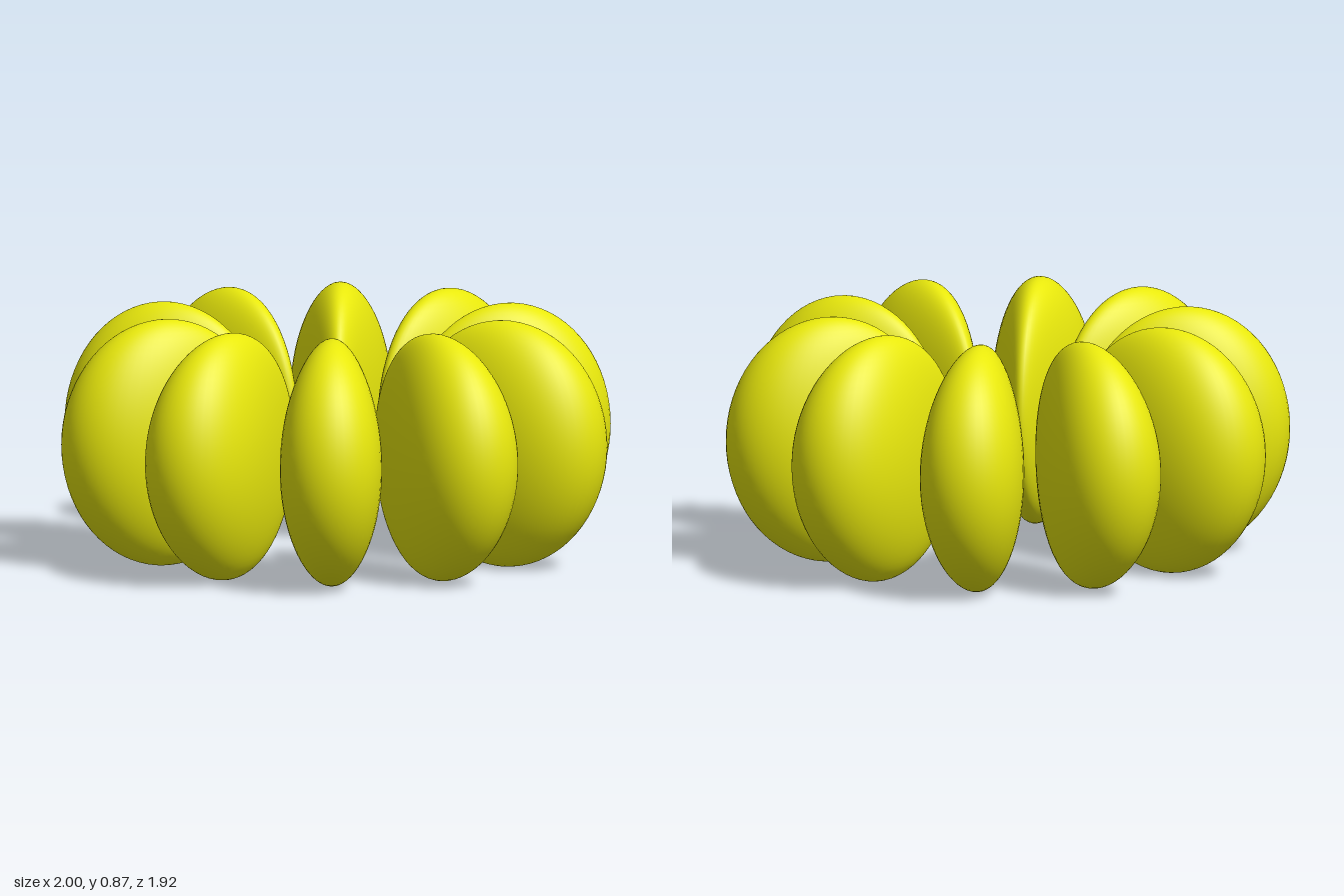
import * as THREE from 'three';
import { mergeVertices } from 'three/addons/utils/BufferGeometryUtils.js';

const LOBES = 10;

// Teardrop wedge: a unit sphere stretched to an ellipse, thin at the inner end and full at the outer end
function lobeGeometry() {
  let geo = new THREE.SphereGeometry(1, 56, 36);
  geo.deleteAttribute('uv');
  geo.deleteAttribute('normal');
  geo = mergeVertices(geo, 1e-4);
  const p = geo.attributes.position;
  for (let i = 0; i < p.count; i++) {
    const a = p.getX(i), b = p.getY(i), c = p.getZ(i);
    p.setXYZ(i, 0.627 + 0.373 * a, 0.44 + 0.437 * b, c * (0.162 + 0.085 * a));
  }
  geo.computeVertexNormals();
  return geo;
}

export function createModel() {
  const model = new THREE.Group();
  model.name = 'lobeRing';
  const geo = lobeGeometry();
  const yellow = new THREE.MeshStandardMaterial({ color: 0xe8e80c });

  // Ring of identical lobes, one pointing along each side axis
  for (let i = 0; i < LOBES; i++) {
    const lobe = new THREE.Mesh(geo, yellow);
    lobe.name = `lobe${i + 1}`;
    lobe.rotation.y = (i / LOBES) * Math.PI * 2;
    model.add(lobe);
  }
  return model;
}
